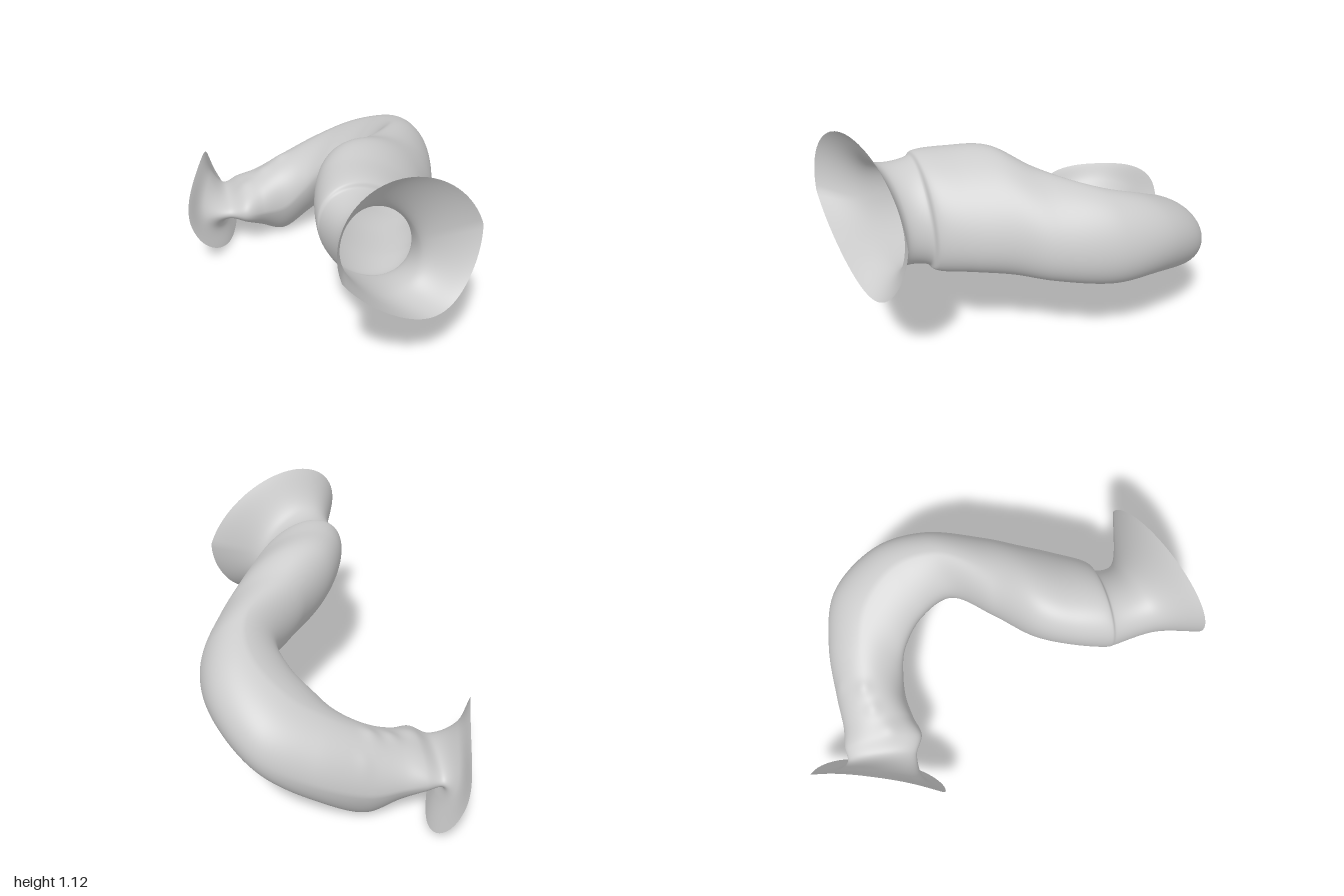
import * as THREE from 'three';

const AROUND = 96, STEPS = 16;

// Upright oval cross-section between an inner and an outer [x, z], from yb to yt.
// sharp narrows the underside, pinch flattens the inner side, power below 1 squares the oval,
// lean shifts the top in x and the bottom against it, bow shifts both alike.
function ring([xi, zi], [xo, zo], yb, yt,
  { sharp = 0, pinch = 0, power = 1, lean = 0, bow = 0 } = {}) {
  const shape = v => Math.sign(v) * Math.abs(v) ** power;
  return Array.from({ length: AROUND }, (_, j) => {
    const a = j / AROUND * Math.PI * 2;
    const c0 = shape(Math.cos(a)), s0 = shape(Math.sin(a));
    const c = c0 * (1 - sharp * Math.max(0, -s0));
    const s = s0 * (1 - pinch * Math.max(0, -c0));
    return new THREE.Vector3(
      (xi + xo) / 2 + (xo - xi) / 2 * c + lean * s + bow * s * s,
      (yb + yt) / 2 + (yt - yb) / 2 * s,
      (zi + zo) / 2 + (zo - zi) / 2 * c);
  });
}

// Cross-sections from the wide front mouth round the bend to the small rear mouth
const sections = [
  // flared front mouth and throat
  ring([-0.155, 0.995], [0.55, 0.73], 0.415, 1.115, { sharp: 0.3, lean: -0.12 }),
  ring([-0.1, 0.8], [0.285, 0.67], 0.48, 0.93, { lean: -0.08 }),
  // narrow neck, then the stepped edge of the wide arm
  ring([-0.13, 0.59], [0.28, 0.56], 0.455, 0.925, { lean: -0.07 }),
  ring([-0.135, 0.565], [0.325, 0.535], 0.44, 0.95, { lean: -0.08 }),
  ring([-0.1, 0.4], [0.405, 0.38], 0.44, 0.965, { lean: -0.1 }),
  ring([-0.025, 0.22], [0.475, 0.22], 0.43, 0.97, { lean: -0.1 }),
  ring([0.14, 0.04], [0.565, 0.06], 0.415, 0.895, { lean: -0.08 }),
  // bend
  ring([0.29, -0.15], [0.66, -0.24], 0.385, 0.835, { pinch: 0.2, lean: -0.04 }),
  ring([0.235, -0.31], [0.63, -0.51], 0.345, 0.765, { pinch: 0.25 }),
  ring([0.12, -0.42], [0.47, -0.75], 0.25, 0.655, { pinch: 0.2 }),
  ring([0.03, -0.455], [0.22, -0.825], 0.11, 0.555, { sharp: 0.1, pinch: 0.1 }),
  // lowered rear arm
  ring([-0.08, -0.465], [-0.04, -0.825], 0, 0.455, { sharp: 0.25 }),
  ring([-0.2, -0.44], [-0.2, -0.81], 0.065, 0.385, { sharp: 0.2 }),
  ring([-0.3, -0.41], [-0.3, -0.815], 0.135, 0.345),
  ring([-0.4, -0.45], [-0.38, -0.81], 0.17, 0.295),
  // rear throat and flared mouth
  ring([-0.53, -0.43], [-0.41, -0.87], 0.1, 0.37, { lean: -0.05, bow: 0.04 }),
  ring([-0.61, -0.33], [-0.405, -1], 0, 0.46, { power: 0.8, lean: -0.09, bow: 0.07 }),
];

// Small lumps on top of the rear arm: x, z, height, radius
const lumps = [[-0.02, -0.8, 0.015, 0.035], [-0.07, -0.66, 0.012, 0.04],
  [-0.17, -0.63, 0.01, 0.04], [-0.28, -0.56, 0.01, 0.05]];

function lumpHeight(p) {
  return lumps.reduce((sum, [x, z, h, r]) =>
    sum + h * Math.exp(-((p.x - x) ** 2 + (p.z - z) ** 2) / (r * r)), 0);
}

// Smooth skin running lengthwise through matching points of all sections
function loft() {
  const along = (sections.length - 1) * STEPS, row = along + 1;
  const pos = [], index = [];
  for (let j = 0; j < AROUND; j++) {
    const line = new THREE.CatmullRomCurve3(sections.map(r => r[j]));
    const topSide = Math.max(0, Math.sin(j / AROUND * Math.PI * 2));
    const next = (j + 1) % AROUND;
    for (let i = 0; i <= along; i++) {
      const p = line.getPoint(i / along);
      pos.push(p.x, p.y + topSide * lumpHeight(p), p.z);
      if (i < along) {
        const a = j * row + i, b = next * row + i;
        index.push(a, a + 1, b, b, a + 1, b + 1);
      }
    }
  }
  const g = new THREE.BufferGeometry();
  g.setAttribute('position', new THREE.Float32BufferAttribute(pos, 3));
  g.setIndex(index);
  g.computeVertexNormals();
  return g;
}

export function createModel() {
  const model = new THREE.Group();
  model.name = 'bentFlaredTube';
  const material = new THREE.MeshStandardMaterial({ color: 0xcccccc, side: THREE.DoubleSide });
  const tube = new THREE.Mesh(loft(), material);
  tube.name = 'hollowTube';
  model.add(tube);
  return model;
}
